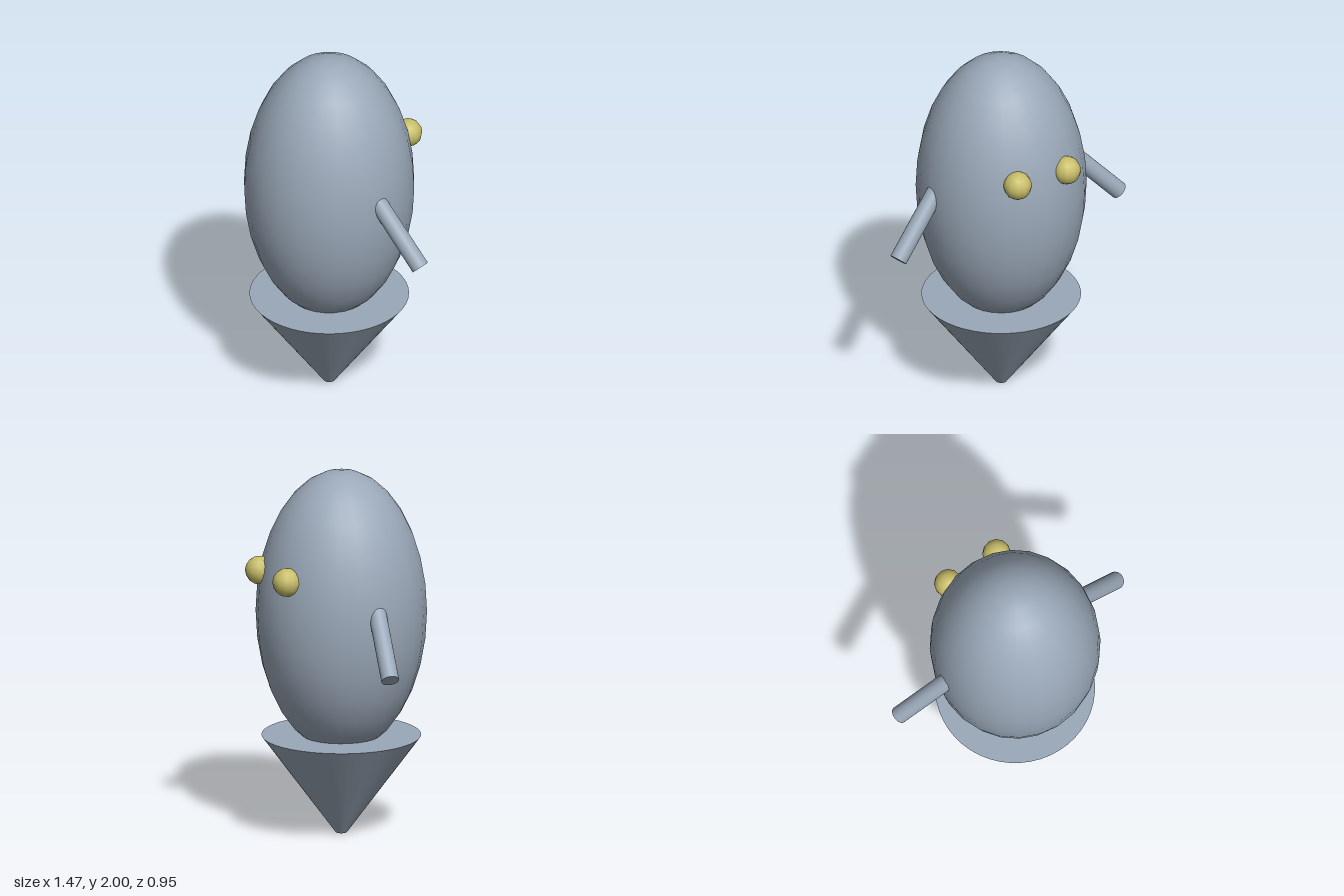
import * as THREE from 'three';

export function createModel() {
  const model = new THREE.Group();
  const skin = new THREE.MeshStandardMaterial({ color: 0x9aa8b8 });
  skin.name = 'blue grey';
  const yellow = new THREE.MeshStandardMaterial({ color: 0xc8be69 });
  yellow.name = 'yellow';

  function add(name, geometry, material, x, y, z) {
    const mesh = new THREE.Mesh(geometry, material);
    mesh.name = name;
    mesh.position.set(x, y, z);
    model.add(mesh);
    return mesh;
  }

  // Egg-shaped body
  const body = add('body', new THREE.SphereGeometry(1, 24, 16), skin, 0, 1.225, 0.015);
  body.scale.set(0.458, 0.775, 0.46);

  // Upturned cone the body stands in, closed on top
  add('baseCone', new THREE.CylinderGeometry(0.428, 0.03, 0.54, 48), skin, 0, 0.27, 0.015);

  const up = new THREE.Vector3(0, 1, 0);
  for (const side of [1, -1]) {
    const label = side > 0 ? 'left' : 'right';

    // Eye, half sunk in the back of the body
    add(label + 'Eye', new THREE.SphereGeometry(0.077, 12, 8), yellow, side * 0.155, 1.463, -0.4);

    // Arm, slanting down and out from inside the body
    const shoulder = new THREE.Vector3(side * 0.36, 1.365, 0.025);
    const hand = new THREE.Vector3(side * 0.697, 1.0, -0.06);
    const mid = shoulder.clone().add(hand).multiplyScalar(0.5);
    const arm = add(label + 'Arm',
      new THREE.CylinderGeometry(0.048, 0.048, shoulder.distanceTo(hand), 24), skin, mid.x, mid.y, mid.z);
    arm.quaternion.setFromUnitVectors(up, shoulder.sub(hand).normalize());
  }
  return model;
}
